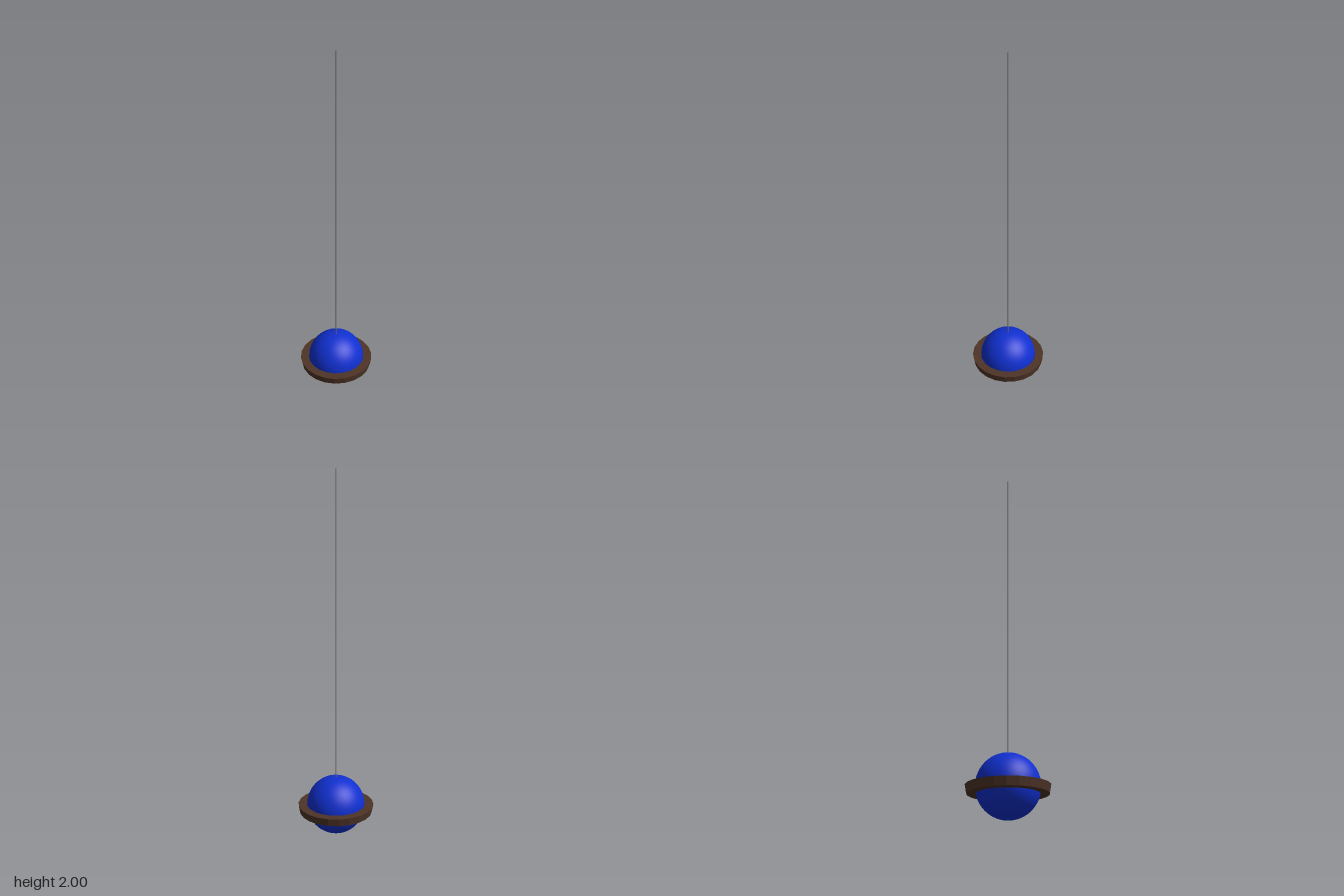
import * as THREE from 'three';

const paint = (color, extra = {}) => new THREE.MeshStandardMaterial({ color, ...extra });

export function createModel() {
  const model = new THREE.Group();
  model.name = 'hangingOrnament';

  const add = (name, geometry, material, y) => {
    const mesh = new THREE.Mesh(geometry, material);
    mesh.name = name;
    mesh.position.y = y;
    model.add(mesh);
    return mesh;
  };

  // Smooth ball resting on the ground plane
  const radius = 0.163;
  add('ball', new THREE.SphereGeometry(radius, 48, 32), paint(0x1030d0), radius);

  // Faceted band, slightly narrower at its lower edge
  const [low, high] = [0.124, 0.167];
  const profile = [
    [0.158, low], [0.205, low], [0.213, high], [0.165, high], [0.158, low],
  ].map(([r, y]) => new THREE.Vector2(r, y));
  add('ring', new THREE.LatheGeometry(profile, 22), paint(0x4e3427, { flatShading: true }), 0);

  // Thin hanging cord, sunk a little into the ball
  const bottom = 0.31, top = 2;
  add('cord', new THREE.CylinderGeometry(0.0025, 0.0025, top - bottom, 8), paint(0x80786f), (top + bottom) / 2);

  return model;
}
